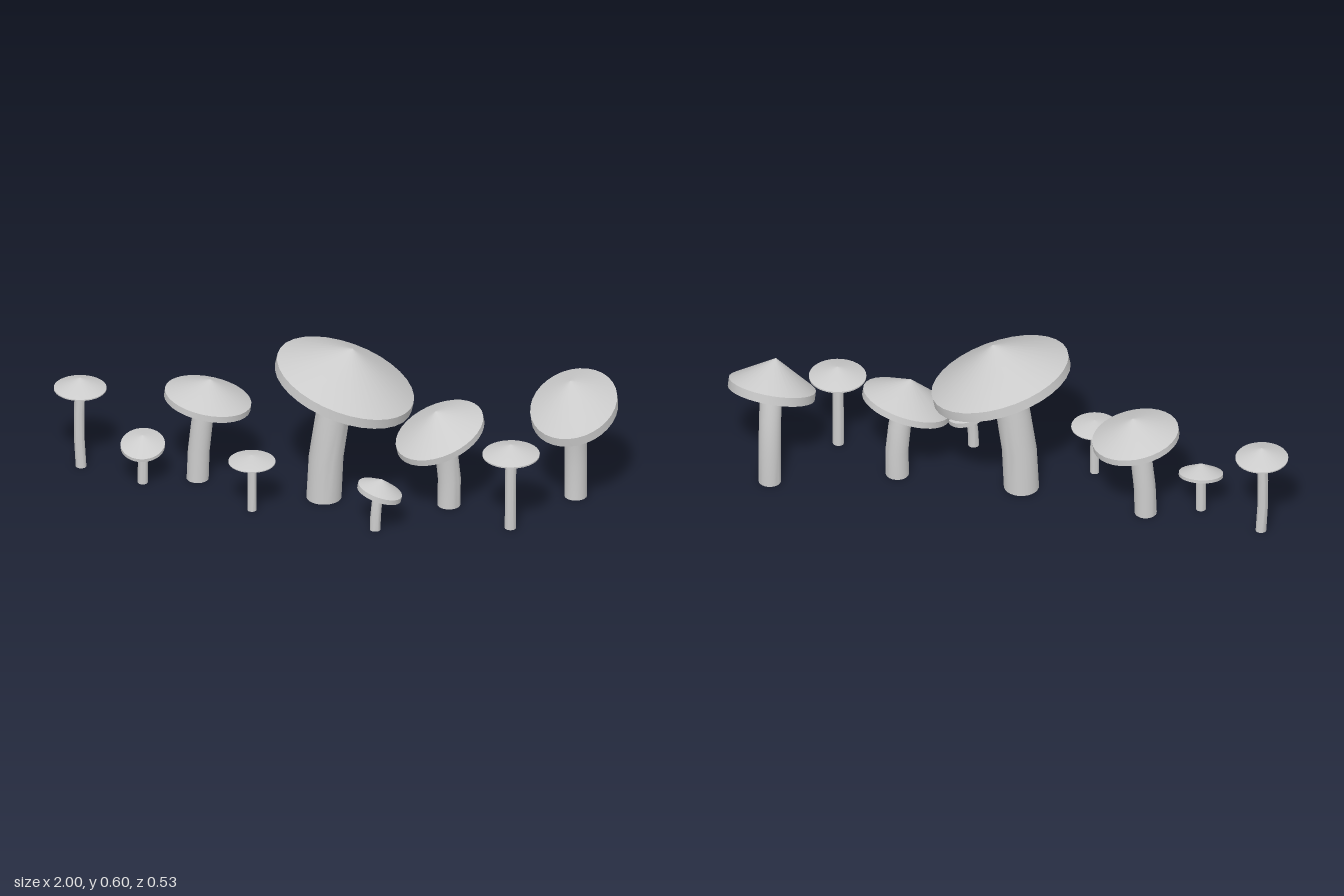
import * as THREE from 'three';
import { toCreasedNormals } from 'three/addons/utils/BufferGeometryUtils.js';

const material = new THREE.MeshStandardMaterial({ color: 0xcccccc });

// base: stem foot [x, z]; ctrl: bend point [x, z]; at: centre of the cap's underside;
// apex: offset from there to the tip; tilt: rise of the rim per unit of x and z;
// wall: rim height as a share of the cap height
const MUSHROOMS = [
  { name: 'largeMushroom', base: [-0.03, -0.02], ctrl: [-0.03, -0.02], stemR: 0.062,
    at: [0.038, 0.438, -0.025], apex: [0.034, 0.157, 0.004], r: 0.241, tilt: [-0.335, -0.03], wall: 0.23 },
  { name: 'leftTallMushroom', base: [0.845, -0.141], ctrl: [0.845, -0.158], stemR: 0.04,
    at: [0.846, 0.353, -0.106], apex: [-0.012, 0.134, 0.024], r: 0.153, tilt: [0.13, -0.39], wall: 0.25 },
  { name: 'leftMiddleMushroom', base: [0.412, -0.02], ctrl: [0.422, -0.026], stemR: 0.041,
    at: [0.385, 0.28, -0.002], apex: [-0.016, 0.105, 0.017], r: 0.154, tilt: [0.3, -0.22], wall: 0.23 },
  { name: 'rightMiddleMushroom', base: [-0.487, -0.1], ctrl: [-0.487, -0.1], stemR: 0.039,
    at: [-0.453, 0.305, -0.1], apex: [0.012, 0.091, 0], r: 0.152, tilt: [-0.18, 0.04], wall: 0.26 },
  { name: 'rightSmallMushroom', base: [-0.674, -0.045], ctrl: [-0.674, -0.045], stemR: 0.018,
    at: [-0.674, 0.142, -0.045], apex: [0, 0.048, 0.006], r: 0.078, tilt: [0, -0.27], wall: 0.25 },
  { name: 'leftSmallMushroom', base: [0.179, 0.198], ctrl: [0.179, 0.198], stemR: 0.019,
    at: [0.192, 0.138, 0.19], apex: [0.011, 0.056, -0.004], r: 0.077, tilt: [-0.33, 0.09], wall: 0.33 },
  { name: 'rightSlimMushroom', base: [-0.904, -0.136], ctrl: [-0.917, -0.136], stemR: 0.019,
    at: [-0.907, 0.308, -0.136], apex: [0, 0.044, 0], r: 0.093, tilt: [0, 0], wall: 0.1 },
  { name: 'rightShortSlimMushroom', base: [-0.268, 0.11], ctrl: [-0.268, 0.11], stemR: 0.016,
    at: [-0.268, 0.192, 0.112], apex: [0, 0.028, 0], r: 0.083, tilt: [0, 0], wall: 0.12 },
  { name: 'leftSlimMushroom', base: [0.648, 0.126], ctrl: [0.648, 0.126], stemR: 0.02,
    at: [0.65, 0.287, 0.122], apex: [0, 0.043, 0], r: 0.101, tilt: [0, 0], wall: 0.12 },
];

// Conical cap with a short rim wall, sheared so rim and tip lean separately
function capGeometry({ at, apex, r, tilt, wall }) {
  const profile = [[0, 0], [1, 0], [1, wall], [0, 1]].map(p => new THREE.Vector2(...p));
  const geometry = new THREE.LatheGeometry(profile, 32);
  geometry.applyMatrix4(new THREE.Matrix4().makeBasis(
    new THREE.Vector3(r, r * tilt[0], 0),
    new THREE.Vector3(...apex),
    new THREE.Vector3(0, r * tilt[1], r),
  ).setPosition(...at));
  return toCreasedNormals(geometry, 0.5);
}

// Stem whose rings follow a quadratic bend from the foot into the cap
function stemGeometry({ base, ctrl, at, apex, stemR }) {
  const height = at[1] + apex[1] * 0.3;
  const geometry = new THREE.CylinderGeometry(stemR * 0.97, stemR, height, 24, 3);
  geometry.translate(0, height / 2, 0);
  const pos = geometry.attributes.position;
  const bend = (t, a, b, c) => (1 - t) * (1 - t) * a + 2 * t * (1 - t) * b + t * t * c;
  for (let i = 0; i < pos.count; i++) {
    const t = pos.getY(i) / height;
    pos.setX(i, pos.getX(i) + bend(t, base[0], ctrl[0], at[0]));
    pos.setZ(i, pos.getZ(i) + bend(t, base[1], ctrl[1], at[2]));
  }
  return toCreasedNormals(geometry, 0.6);
}

export function createModel() {
  const model = new THREE.Group();
  model.name = 'mushroomRow';
  for (const spec of MUSHROOMS) {
    const mushroom = new THREE.Group();
    mushroom.name = spec.name;
    const cap = new THREE.Mesh(capGeometry(spec), material);
    cap.name = 'cap';
    const stem = new THREE.Mesh(stemGeometry(spec), material);
    stem.name = 'stem';
    mushroom.add(cap, stem);
    model.add(mushroom);
  }
  return model;
}
